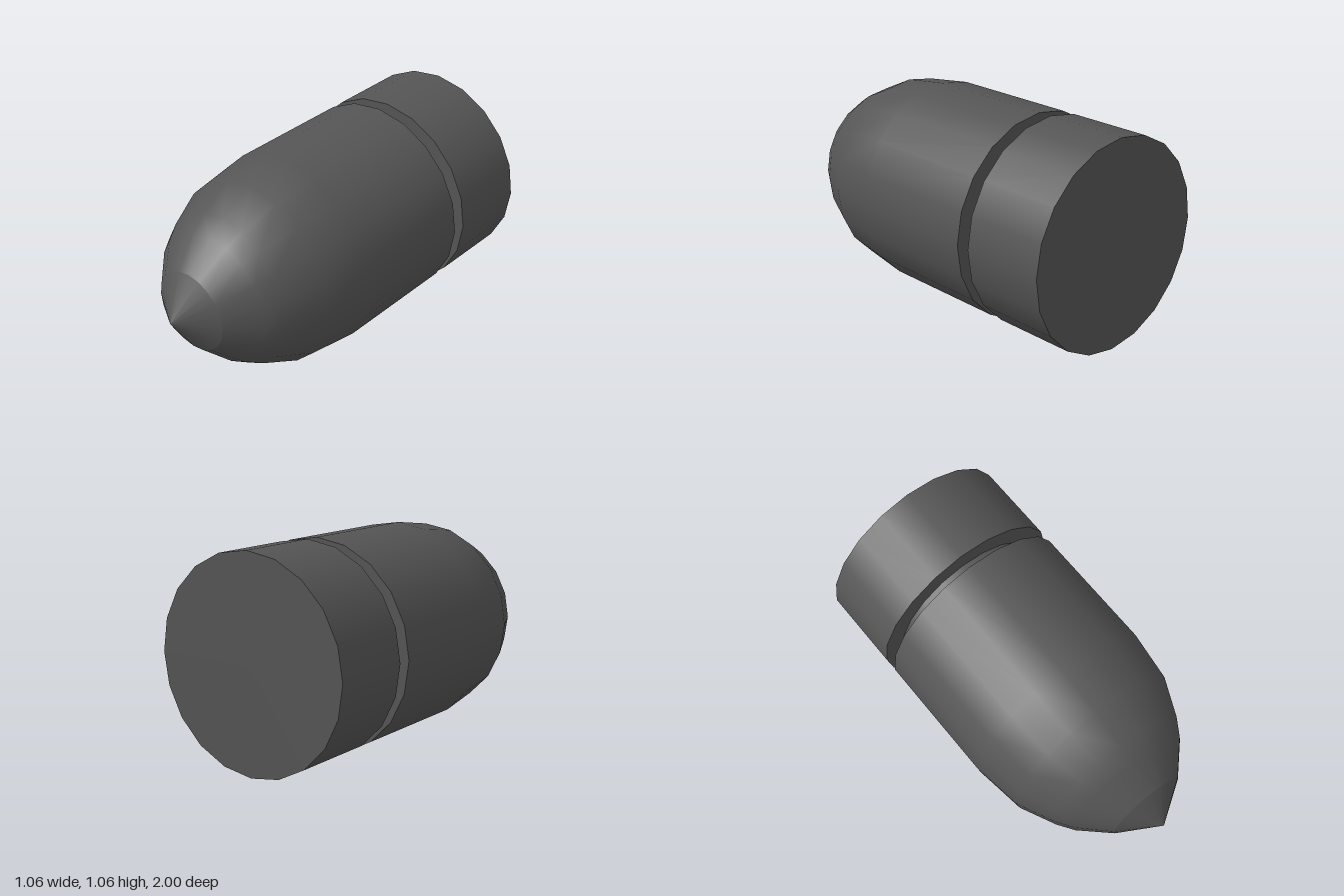
import * as THREE from 'three';

const SIDES = 20;
const AXIS_Y = 0.528;

export function createModel() {
  const model = new THREE.Group();
  model.name = 'bullet';
  const material = new THREE.MeshStandardMaterial({ color: 0x555555 });

  // Revolves [radius, z] pairs, listed from back to front, around the long axis.
  // Each part is its own lathe so that the edges between parts stay sharp.
  function turned(name, profile) {
    const points = profile.map(([r, z]) => new THREE.Vector2(r, z));
    const geometry = new THREE.LatheGeometry(points, SIDES);
    geometry.rotateX(Math.PI / 2);
    const mesh = new THREE.Mesh(geometry, material);
    mesh.name = name;
    mesh.position.y = AXIS_Y;
    model.add(mesh);
  }

  // Rear casing
  turned('basePlate', [[0, -1], [0.528, -1]]);
  turned('casing', [[0.528, -1], [0.528, -0.565]]);
  turned('casingShoulder', [[0.528, -0.565], [0.42, -0.565]]);

  // Recessed ring
  turned('groove', [[0.42, -0.565], [0.42, -0.495]]);

  // Rounded front body and pointed tip
  turned('bodyShoulder', [[0.42, -0.495], [0.528, -0.495]]);
  turned('body', [
    [0.528, -0.495], [0.528, 0.19], [0.493, 0.45],
    [0.405, 0.64], [0.35, 0.725], [0.21, 0.867],
  ]);
  turned('tip', [[0.21, 0.867], [0, 1]]);

  return model;
}
